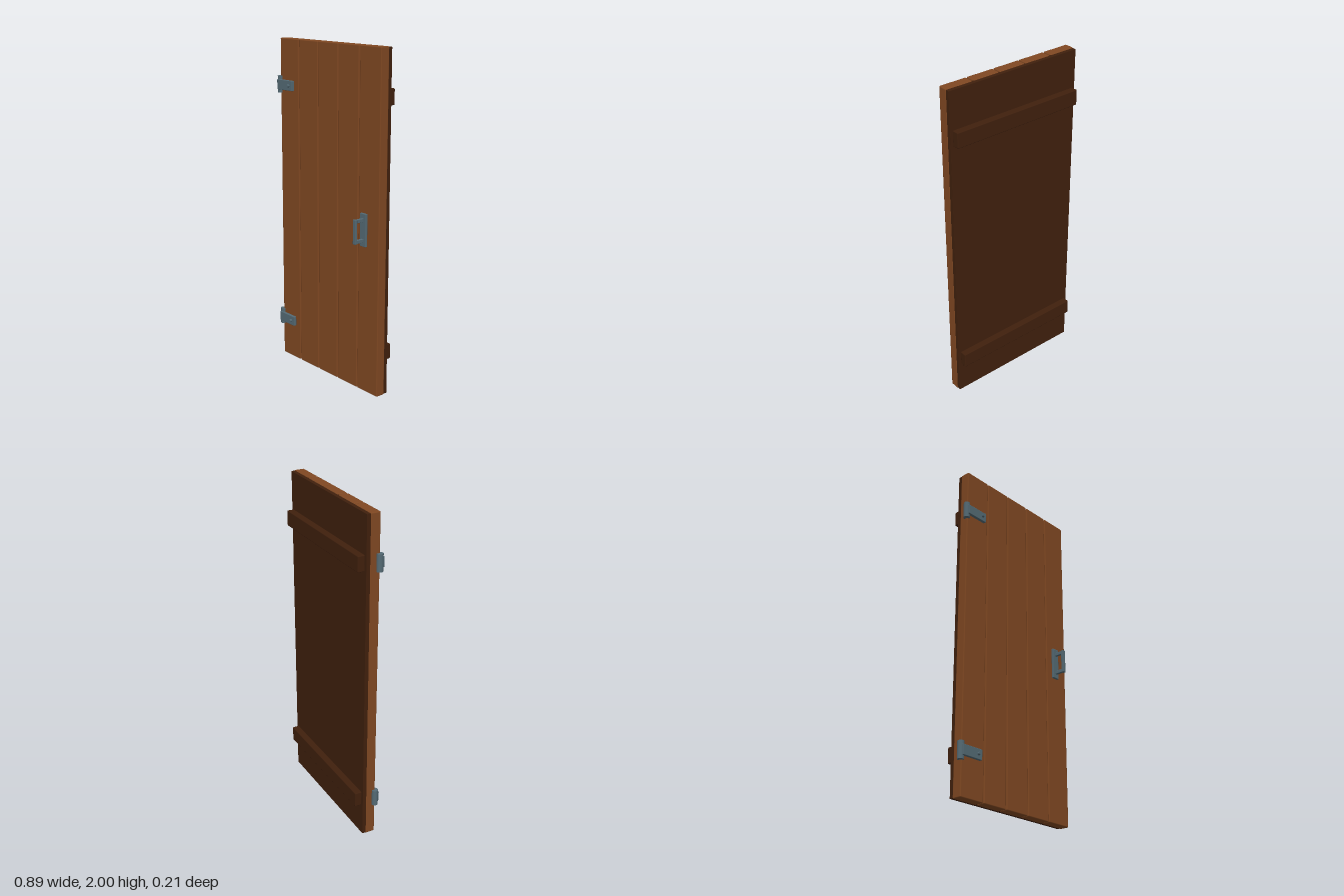
import * as THREE from 'three';
import { RoundedBoxGeometry } from 'three/addons/geometries/RoundedBoxGeometry.js';

const material = (name, color) => {
  const m = new THREE.MeshStandardMaterial({ color });
  m.name = name;
  return m;
};

export function createModel() {
  const wood = material('plank brown', 0x804822);
  const darkWood = material('dark brown', 0x40200d);
  const metal = material('blue grey metal', 0x546a74);

  const door = new THREE.Group();
  door.name = 'plankDoor';

  // Softly bevelled block given by its minimum and maximum on each axis
  function block(name, [x0, x1], [y0, y1], [z0, z1], mat, bevel, parent = door) {
    const geometry = new RoundedBoxGeometry(x1 - x0, y1 - y0, z1 - z0, 1, bevel);
    const mesh = new THREE.Mesh(geometry, mat);
    mesh.position.set((x0 + x1) / 2, (y0 + y1) / 2, (z0 + z1) / 2);
    mesh.name = name;
    parent.add(mesh);
    return mesh;
  }

  // Five upright planks with narrow gaps
  for (let i = 0; i < 5; i++) {
    const x = -0.427 + i * 0.176;
    block('plank', [x, x + 0.169], [0, 2], [-0.043, 0.016], wood, 0.006);
  }

  // Dark backing panel and two cross braces
  block('backPanel', [-0.425, 0.444], [0.004, 1.996], [-0.064, -0.037], darkWood, 0.001);
  for (const y of [0.25, 1.727]) {
    block('brace', [-0.409, 0.428], [y - 0.046, y + 0.046], [-0.106, -0.062], darkWood, 0.005);
  }

  // Hinges: barrel, strap and bolt head
  for (const y of [0.25, 1.727]) {
    const hinge = new THREE.Group();
    hinge.name = 'hinge';
    hinge.position.y = y;
    door.add(hinge);

    const barrel = new THREE.Mesh(new THREE.CylinderGeometry(0.019, 0.019, 0.1, 20), metal);
    barrel.position.set(-0.43, 0, 0.013);
    barrel.name = 'hingeBarrel';
    hinge.add(barrel);

    block('hingeStrap', [-0.435, -0.293], [-0.03, 0.03], [0.02, 0.039], metal, 0.003, hinge);

    const bolt = new THREE.Mesh(new THREE.CylinderGeometry(0.009, 0.009, 0.022, 14), metal);
    bolt.rotation.x = Math.PI / 2;
    bolt.position.set(-0.322, 0, 0.042);
    bolt.name = 'hingeBolt';
    hinge.add(bolt);
  }

  // Pull handle: plate, two posts and a grip bar
  const handle = new THREE.Group();
  handle.name = 'handle';
  door.add(handle);
  block('handlePlate', [0.313, 0.36], [0.888, 1.08], [0.022, 0.038], metal, 0.003, handle);
  for (const y of [0.924, 1.043]) {
    block('handlePost', [0.328, 0.345], [y - 0.01, y + 0.01], [0.034, 0.092], metal, 0.002, handle);
  }
  block('handleGrip', [0.326, 0.347], [0.912, 1.055], [0.086, 0.103], metal, 0.003, handle);

  return door;
}
